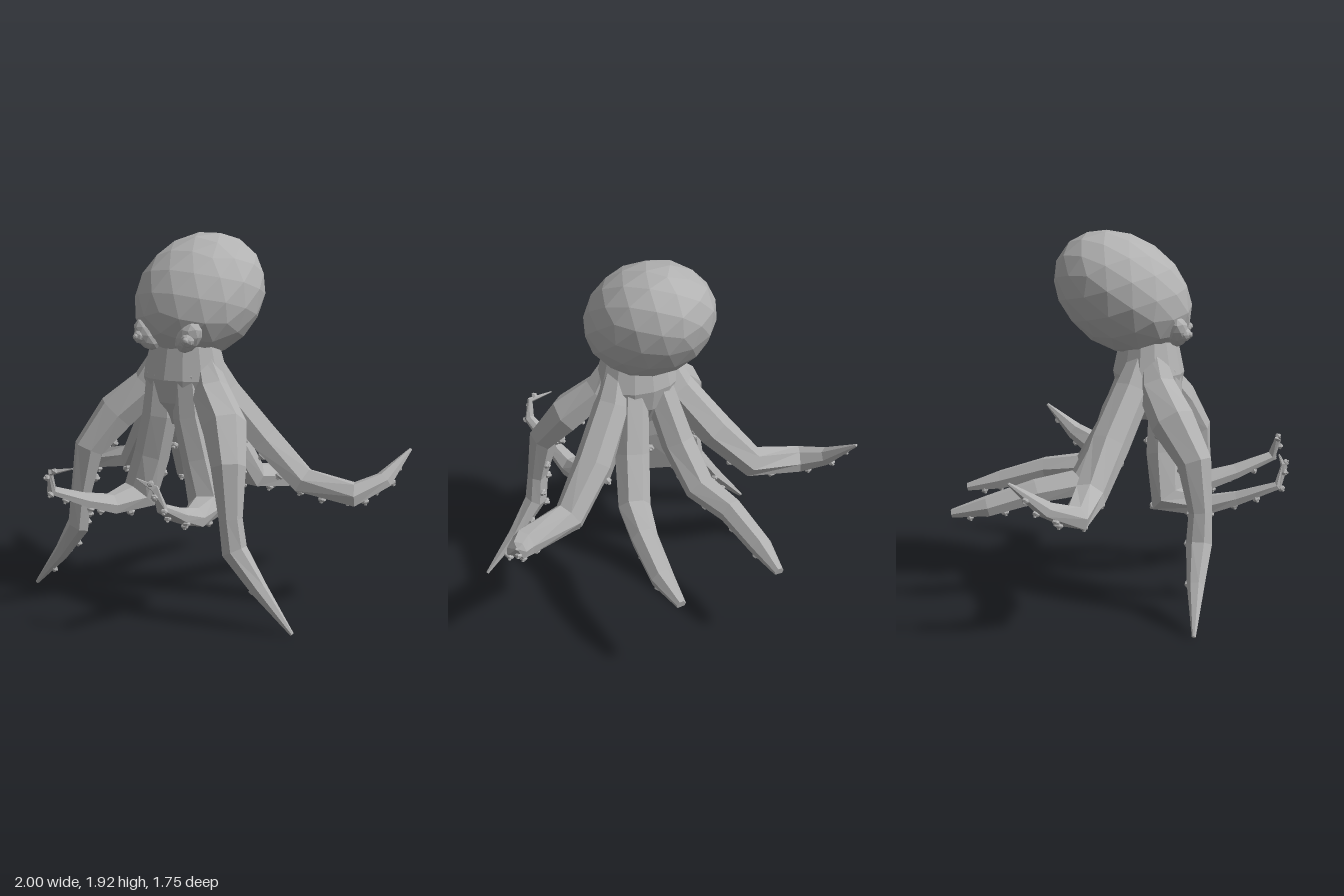
import * as THREE from 'three';

const skin = new THREE.MeshStandardMaterial({ color: 0xb2b2b2, flatShading: true });
skin.name = 'grey skin';

const UP = new THREE.Vector3(0, 1, 0);
// Arm cross-section (sideways, outward): rounded back, flat underside
const SECTION = [[-0.85, -0.65], [0.85, -0.65], [1, 0.1], [0.45, 0.85], [-0.45, 0.85], [-1, 0.1]];

// Each arm on the +x side: heading (x, z) that its back faces, and rows of x, y, z, half width
const ARMS = {
  frontArm: {
    heading: [.38, .92],
    rows: [[.06, 1.34, .19, .06], [.08, 1.2, .24, .085], [.1, 1.0, .24, .092], [.155, .78, .235, .095],
      [.22, .555, .26, .1], [.265, .53, .45, .062], [.3, .58, .62, .044], [.345, .66, .82, .028],
      [.325, .76, .85, .018], [.2, .79, .83, .004]],
  },
  frontSideArm: {
    heading: [.65, .75],
    rows: [[.12, 1.32, .17, .06], [.19, 1.14, .2, .1], [.34, .985, .29, .115], [.44, .8, .4, .088],
      [.475, .55, .43, .06], [.495, .39, .425, .066], [.63, .215, .41, .045], [.82, .012, .4, .01]],
  },
  backSideArm: {
    heading: [.75, -.65],
    rows: [[.12, 1.32, .13, .06], [.19, 1.12, .07, .095], [.36, .87, -.04, .1], [.55, .65, -.13, .085],
      [.83, .605, -.18, .072], [.925, .67, -.31, .05], [.99, .815, -.48, .008]],
  },
  backArm: {
    heading: [.25, -.97],
    rows: [[.06, 1.32, .1, .06], [.085, 1.13, .05, .085], [.14, .86, -.05, .092], [.2, .63, -.19, .085],
      [.26, .595, -.42, .07], [.29, .52, -.67, .06], [.285, .478, -.86, .025]],
  },
};

function mesh(geometry, name) {
  const m = new THREE.Mesh(geometry, skin);
  m.name = name;
  return m;
}

// Position, width and local frame of every ring along an arm
function armFrames({ heading, rows }, side) {
  const pts = rows.map(([x, y, z]) => new THREE.Vector3(x * side, y, z));
  const last = pts.length - 1;
  const across = UP.clone().cross(new THREE.Vector3(heading[0] * side, 0, heading[1]));
  return pts.map((p, i) => {
    const t = pts[Math.min(i + 1, last)].clone().sub(pts[Math.max(i - 1, 0)]).normalize();
    const n = t.clone().cross(across).normalize();
    return { p, n, s: n.clone().cross(t).normalize(), r: rows[i][3] };
  });
}

function armGeometry(frames) {
  const pos = [], idx = [], k = SECTION.length;
  for (const { p, n, s, r } of frames) {
    for (const [a, b] of SECTION) {
      const v = p.clone().addScaledVector(s, a * r).addScaledVector(n, b * r);
      pos.push(v.x, v.y, v.z);
    }
  }
  for (let i = 0; i < frames.length - 1; i++) {
    for (let j = 0; j < k; j++) {
      const a = i * k + j, b = i * k + (j + 1) % k;
      idx.push(a, b, a + k, b, b + k, a + k);
    }
  }
  const end = (frames.length - 1) * k;
  for (let j = 1; j < k - 1; j++) idx.push(end, end + j, end + j + 1, 0, j + 1, j);
  const g = new THREE.BufferGeometry();
  g.setAttribute('position', new THREE.Float32BufferAttribute(pos, 3));
  g.setIndex(idx);
  const flat = g.toNonIndexed();
  flat.computeVertexNormals();
  return flat;
}

// Small stepped cup, base at the origin
const suckerGeometry = new THREE.LatheGeometry(
  [[.7, -.3], [1, .35], [.75, .75], [.45, .8], [.35, 1.2], [0, 1.25]].map(([x, y]) => new THREE.Vector2(x, y)), 6);

function addSuckers(group, frames, count) {
  const last = frames.length - 1;
  for (let i = 0; i < count; i++) {
    const u = (0.3 + 0.62 * i / (count - 1)) * last;
    const a = frames[Math.floor(u)], b = frames[Math.floor(u) + 1], f = u % 1;
    const r = THREE.MathUtils.lerp(a.r, b.r, f);
    const n = a.n.clone().lerp(b.n, f).normalize(), s = a.s.clone().lerp(b.s, f).normalize();
    const cup = mesh(suckerGeometry, 'sucker');
    cup.position.copy(a.p).lerp(b.p, f).addScaledVector(n, -0.65 * r)
      .addScaledVector(s, (i % 2 ? 0.55 : -0.55) * r);
    cup.quaternion.setFromUnitVectors(UP, n.clone().negate());
    cup.scale.setScalar(0.017 + 0.08 * r);
    group.add(cup);
  }
}

export function createModel() {
  const model = new THREE.Group();
  model.name = 'octopus';

  // Head: faceted egg leaning back
  const head = mesh(new THREE.IcosahedronGeometry(1, 2), 'head');
  head.scale.set(0.335, 0.295, 0.388);
  head.rotation.x = 0.6;
  head.position.set(0, 1.6, 0.015);
  model.add(head);

  // Neck and the web joining the arms
  const profile = [[0, .93], [.12, .95], [.21, 1.07], [.24, 1.19], [.2, 1.34], [.17, 1.45], [0, 1.47]];
  const body = mesh(new THREE.LatheGeometry(profile.map(([x, y]) => new THREE.Vector2(x, y)), 14), 'body');
  body.scale.z = 0.78;
  body.position.z = 0.15;
  model.add(body);

  for (const side of [1, -1]) {
    const label = side > 0 ? 'left' : 'right';

    // Eye: slanted lid, ball and pupil
    const lid = mesh(new THREE.IcosahedronGeometry(1, 1), label + 'Eyelid');
    lid.scale.set(0.062, 0.093, 0.06);
    lid.rotation.z = -0.7 * side;
    lid.position.set(0.13 * side, 1.415, 0.3);
    const ball = mesh(new THREE.IcosahedronGeometry(0.038, 1), label + 'Eyeball');
    ball.position.set(0.148 * side, 1.405, 0.335);
    const pupil = mesh(new THREE.IcosahedronGeometry(0.018, 1), label + 'Pupil');
    pupil.position.set(0.155 * side, 1.405, 0.362);
    model.add(lid, ball, pupil);

    // Arms with two staggered rows of suckers
    for (const [name, spec] of Object.entries(ARMS)) {
      const arm = new THREE.Group();
      arm.name = label + name[0].toUpperCase() + name.slice(1);
      const frames = armFrames(spec, side);
      arm.add(mesh(armGeometry(frames), 'arm'));
      addSuckers(arm, frames, 10);
      model.add(arm);
    }
  }
  return model;
}
